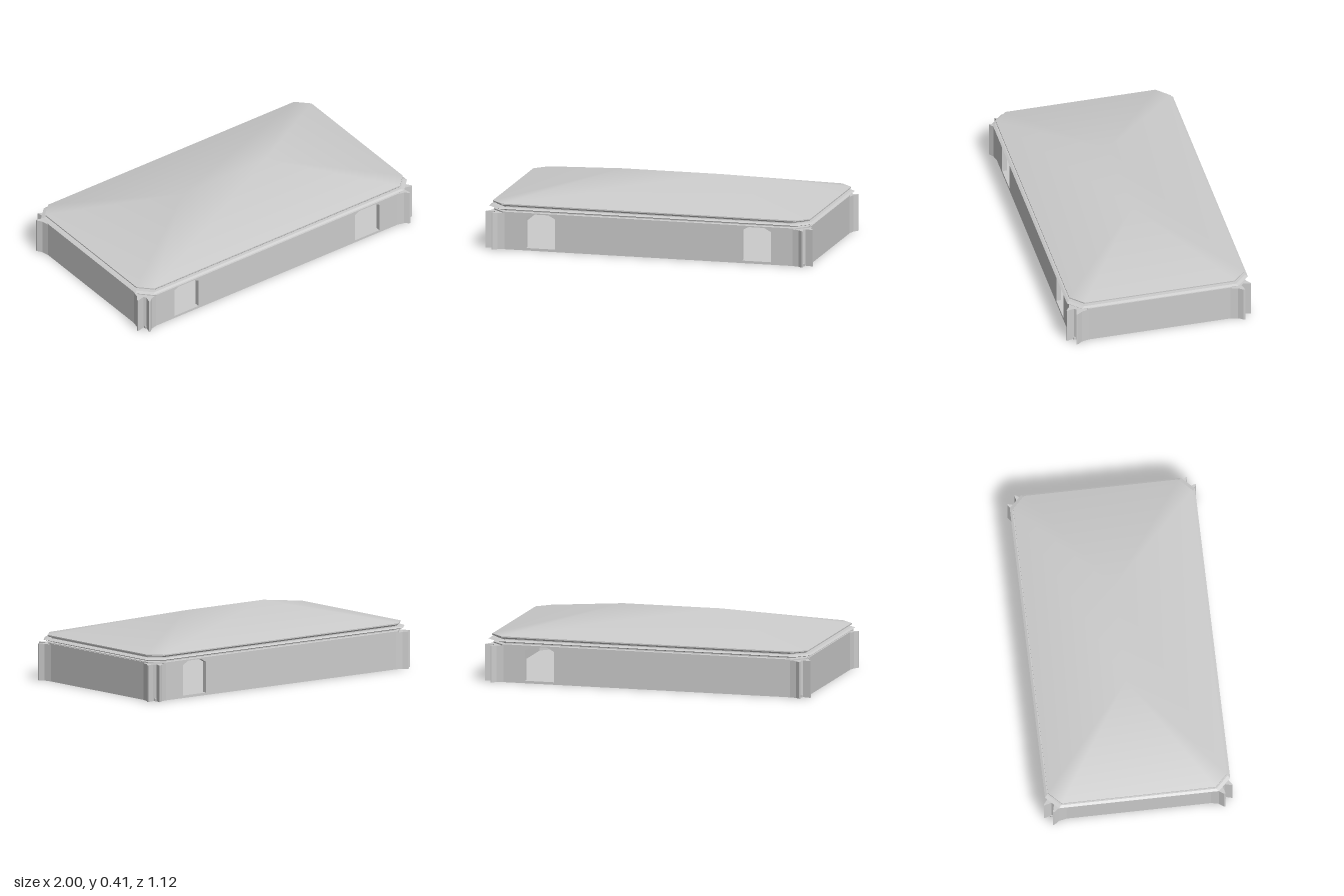
import * as THREE from 'three';

const material = new THREE.MeshStandardMaterial({ color: 0xcccccc, side: THREE.DoubleSide });
const flat = new THREE.MeshStandardMaterial({ color: 0xcccccc, side: THREE.DoubleSide, flatShading: true });

const WALL_X = 0.97, WALL_Z = 0.53, THICK = 0.03, WALL_TOP = 0.22;

function part(group, name, geometry, mat = flat) {
  const mesh = new THREE.Mesh(geometry, mat);
  mesh.name = name;
  group.add(mesh);
  return mesh;
}

const shapeOf = (pts) => new THREE.Shape(pts.map(([x, y]) => new THREE.Vector2(x, y)));

// Rectangle with cut corners, anticlockwise from above
function octagon(hx, hz, cx, cz, y) {
  return [
    [hx, hz - cz], [hx, -hz + cz], [hx - cx, -hz], [-hx + cx, -hz],
    [-hx, -hz + cz], [-hx, hz - cz], [-hx + cx, hz], [hx - cx, hz],
  ].map(([x, z]) => [x, y, z]);
}

// Skin through stacked rings of eight points, optionally capped
function loft(rings, capped) {
  const positions = rings.flat(2), index = [], n = 8;
  for (let r = 0; r < rings.length - 1; r++) {
    for (let i = 0; i < n; i++) {
      const a = r * n + i, b = r * n + (i + 1) % n;
      index.push(a, b, b + n, a, b + n, a + n);
    }
  }
  if (capped) {
    const top = (rings.length - 1) * n;
    for (let i = 1; i < n - 1; i++) {
      index.push(0, i + 1, i);
      index.push(top, top + i, top + i + 1);
    }
  }
  const g = new THREE.BufferGeometry();
  g.setAttribute('position', new THREE.Float32BufferAttribute(positions, 3));
  g.setIndex(index);
  g.computeVertexNormals();
  return g;
}

// Long wall with door openings at the given x positions
function longWall(doors, z) {
  const h = WALL_TOP + 0.006;
  const shape = shapeOf([[-0.9, 0], [0.9, 0], [0.9, h], [-0.9, h]]);
  for (const x of doors) {
    shape.holes.push(new THREE.Path([
      [-0.088, 0.015], [-0.088, 0.198], [-0.045, 0.221],
      [0.045, 0.221], [0.088, 0.198], [0.088, 0.015],
    ].map(([dx, y]) => new THREE.Vector2(x + dx, y))));
  }
  return new THREE.ExtrudeGeometry(shape, { depth: THICK, bevelEnabled: false }).translate(0, 0, z);
}

// Corner pier with two flared fins around a notch
function cornerPier(sx, sz) {
  const plan = [
    [0.88, 0.53], [0.92, 0.54], [0.945, 0.56], [0.953, 0.56], [0.941, 0.515],
    [0.953, 0.501], [1, 0.513], [1, 0.503], [0.98, 0.475], [0.97, 0.43],
    [0.94, 0.43], [0.88, 0.5],
  ].map(([x, z]) => [x * sx, -z * sz]);
  return new THREE.ExtrudeGeometry(shapeOf(plan), { depth: WALL_TOP, bevelEnabled: false })
    .rotateX(-Math.PI / 2);
}

export function createModel() {
  const model = new THREE.Group();
  model.name = 'building';

  // Floor and walls
  part(model, 'floor', new THREE.BoxGeometry(1.9, 0.015, 1.04).translate(0, 0.0075, 0));
  part(model, 'frontWall', longWall([-0.66, 0.66], WALL_Z - THICK));
  part(model, 'backWall', longWall([0.66], -WALL_Z));
  for (const s of [-1, 1]) {
    part(model, s > 0 ? 'leftWall' : 'rightWall',
      new THREE.BoxGeometry(THICK, WALL_TOP + 0.006, 0.88)
        .translate(s * (WALL_X - THICK / 2), (WALL_TOP + 0.006) / 2, 0));
    for (const t of [-1, 1]) part(model, 'cornerPier', cornerPier(s, t));
  }

  // Mouldings inside the back wall: sloping cove above two rails
  const cove = shapeOf([[0, 0.165], [0.05, 0.22], [0, 0.22]]);
  const coveMesh = part(model, 'innerCove',
    new THREE.ExtrudeGeometry(cove, { depth: 1.4, bevelEnabled: false }).rotateY(-Math.PI / 2));
  coveMesh.position.set(0.5, 0, -WALL_Z + THICK);
  for (const [y, h] of [[0.16, 0.01], [0.118, 0.014]]) {
    part(model, 'innerRail', new THREE.BoxGeometry(1.4, h, 0.02)
      .translate(-0.2, y, -WALL_Z + THICK + 0.01));
  }

  // Stepped cornice with a sharp projecting lip
  const steps = [
    [0.962, 0.54, 0.222], [0.962, 0.54, 0.229], [0.945, 0.518, 0.231], [0.945, 0.518, 0.24],
    [0.975, 0.537, 0.241], [0.99, 0.55, 0.247], [0.975, 0.537, 0.253], [0.95, 0.52, 0.254],
    [0.95, 0.52, 0.259], [0.962, 0.526, 0.262], [0.972, 0.532, 0.268], [0.972, 0.532, 0.275],
  ];
  part(model, 'cornice', loft(steps.map(([x, z, y]) => octagon(x, z, 0.075, 0.075, y)), true));

  // Hipped roof with softly shaded slopes meeting at the ridge
  const eave = octagon(0.972, 0.532, 0.075, 0.075, 0.275);
  const ridge = [0.3, 0.3, 0.3, -0.3, -0.3, -0.3, -0.3, 0.3].map((x) => [x, 0.41, 0]);
  const roof = new THREE.BufferGeometry();
  roof.setAttribute('position', new THREE.Float32BufferAttribute(
    [...eave, ridge[0], ridge[4]].flat(), 3));
  const L = 8, R = 9;
  roof.setIndex([
    0, 1, L, 1, 2, L, 2, 3, R, 2, R, L, 3, 4, R,
    4, 5, R, 5, 6, R, 6, 7, L, 6, L, R, 7, 0, L,
  ]);
  roof.computeVertexNormals();
  part(model, 'roof', roof, material);

  return model;
}
